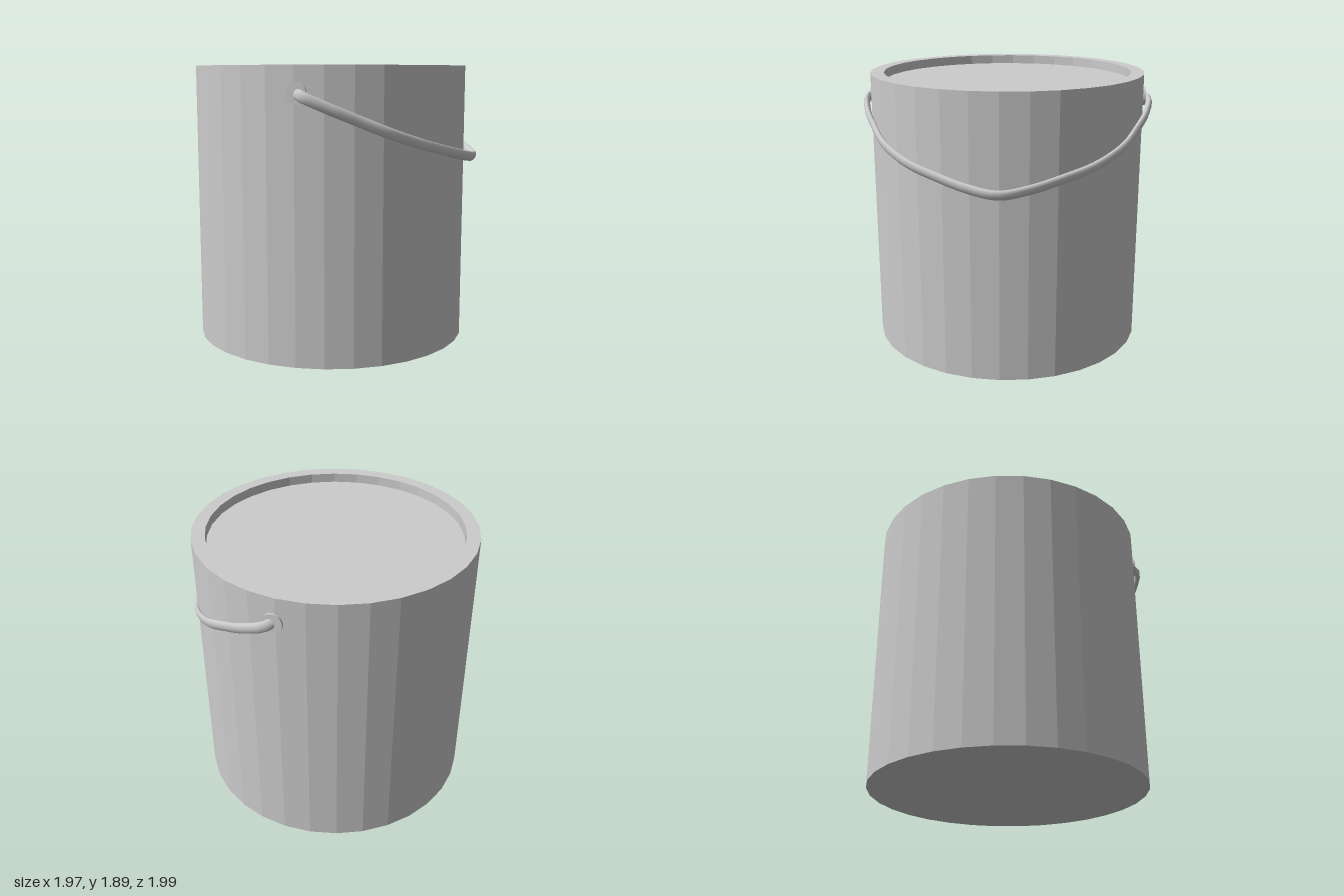
import * as THREE from 'three';

const CX = -0.047, R = 0.943, H = 1.89, RIM = 0.853;
const PIVOT = new THREE.Vector3(-0.03, 1.72, 0);
const TILT = 0.422; // downward lean of the handle
const SIDES = 32;

export function createModel() {
  const model = new THREE.Group();
  const flat = new THREE.MeshStandardMaterial({ color: 0xcccccc, flatShading: true });
  const smooth = new THREE.MeshStandardMaterial({ color: 0xcccccc });

  const add = (name, geometry, material) => {
    const mesh = new THREE.Mesh(geometry, material);
    mesh.name = name;
    model.add(mesh);
    return mesh;
  };

  // Faceted can with a raised rim and closed recess
  const profile = [[0, 0], [R, 0], [R, H], [RIM, H], [RIM, H - 0.08], [0, H - 0.08]]
    .map(([x, y]) => new THREE.Vector2(x, y));
  add('canBody', new THREE.LatheGeometry(profile, SIDES), flat).position.x = CX;

  // Lid disc seated inside the rim
  add('lid', new THREE.CylinderGeometry(RIM - 0.004, RIM - 0.004, 0.02, SIDES), flat)
    .position.set(CX, H - 0.072, 0);

  // Round handle mounts on the front and back
  for (const side of [1, -1]) {
    const mount = new THREE.CylinderGeometry(0.065, 0.065, 0.04, 24).rotateX(Math.PI / 2);
    add(side > 0 ? 'frontMount' : 'backMount', mount, smooth)
      .position.set(PIVOT.x, PIVOT.y, side * 0.935);
  }

  // Bail handle: half outline in its own plane, mirrored, flattened and tilted
  const half = [[0, 0.94], [0.045, 0.975], [0.22, 0.945], [0.41, 0.865], [0.587, 0.775],
    [0.784, 0.597], [0.92, 0.39], [1.03, 0.185]];
  const path = [
    ...half.map(([u, z]) => new THREE.Vector3(u, 0, z)),
    new THREE.Vector3(1.085, 0, 0),
    ...half.slice().reverse().map(([u, z]) => new THREE.Vector3(u, 0, -z)),
  ];
  const bail = new THREE.TubeGeometry(new THREE.CatmullRomCurve3(path), 64, 0.021, 12);
  bail.scale(1, 1.7, 1).rotateZ(-TILT);
  add('handle', bail, smooth).position.copy(PIVOT);

  return model;
}
